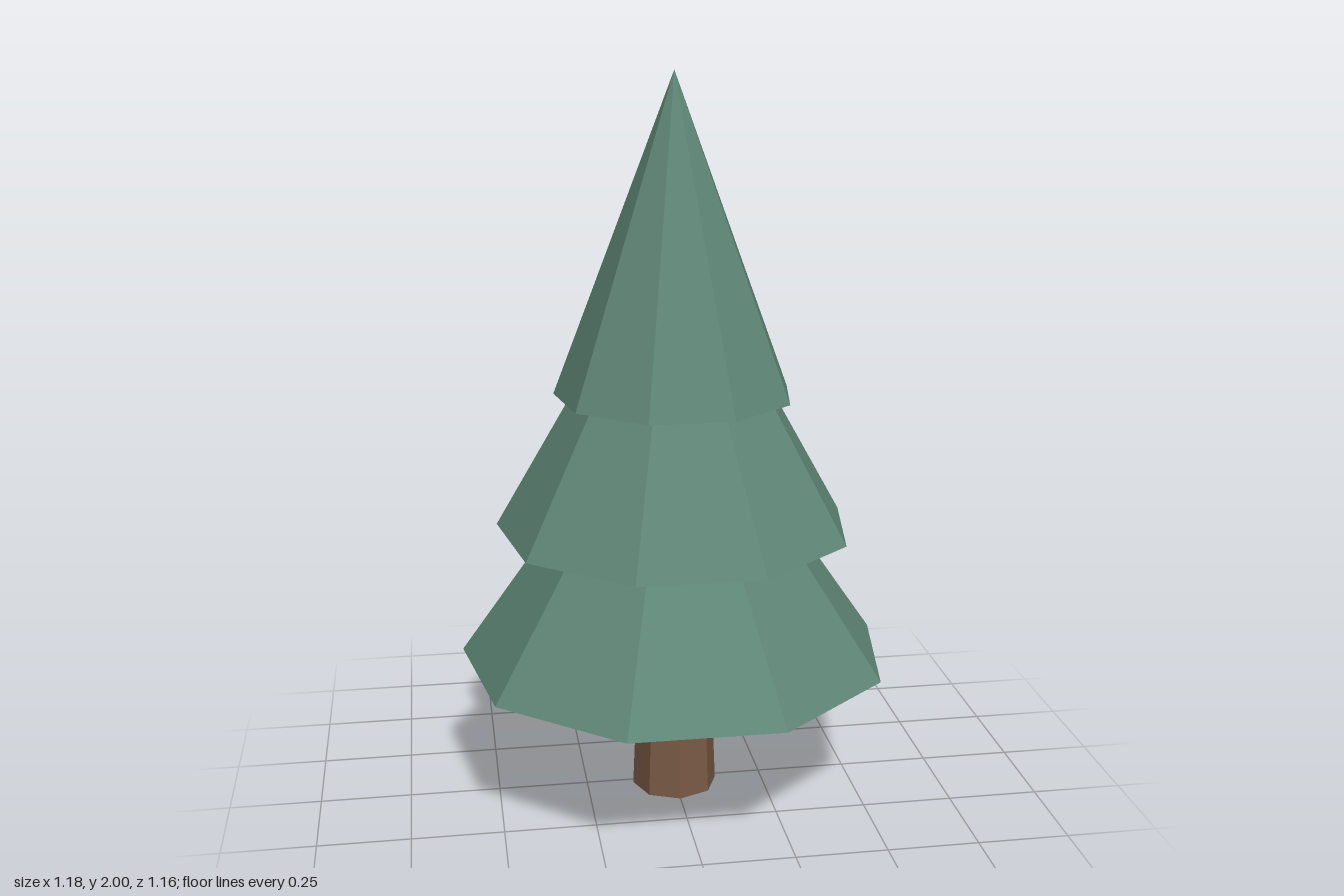
import * as THREE from 'three';

export function createModel() {
  const group = new THREE.Group();
  group.name = 'pineTree';

  const foliage = new THREE.MeshStandardMaterial({ color: 0x5f8677, flatShading: true });
  foliage.name = 'foliage green';
  const bark = new THREE.MeshStandardMaterial({ color: 0x7a5a45, flatShading: true });
  bark.name = 'bark brown';

  const centreZ = 0.018; // the nine-sided tiers reach further to the back

  // Tapered eight-sided trunk, its top hidden inside the lowest tier
  const trunkHeight = 0.45;
  const trunk = new THREE.Mesh(new THREE.CylinderGeometry(0.1, 0.119, trunkHeight, 8), bark);
  trunk.name = 'trunk';
  trunk.position.set(0, trunkHeight / 2, centreZ);
  group.add(trunk);

  // Three nested nine-sided cones of equal height, one corner pointing back
  const tierHeight = 0.855;
  const tiers = [
    ['lowerFoliage', 0.597, 0.4],
    ['middleFoliage', 0.491, 0.773],
    ['upperFoliage', 0.327, 1.145],
  ];
  for (const [name, radius, base] of tiers) {
    const tier = new THREE.Mesh(new THREE.ConeGeometry(radius, tierHeight, 9), foliage);
    tier.name = name;
    tier.position.set(0, base + tierHeight / 2, centreZ);
    tier.rotation.y = Math.PI;
    group.add(tier);
  }

  return group;
}
